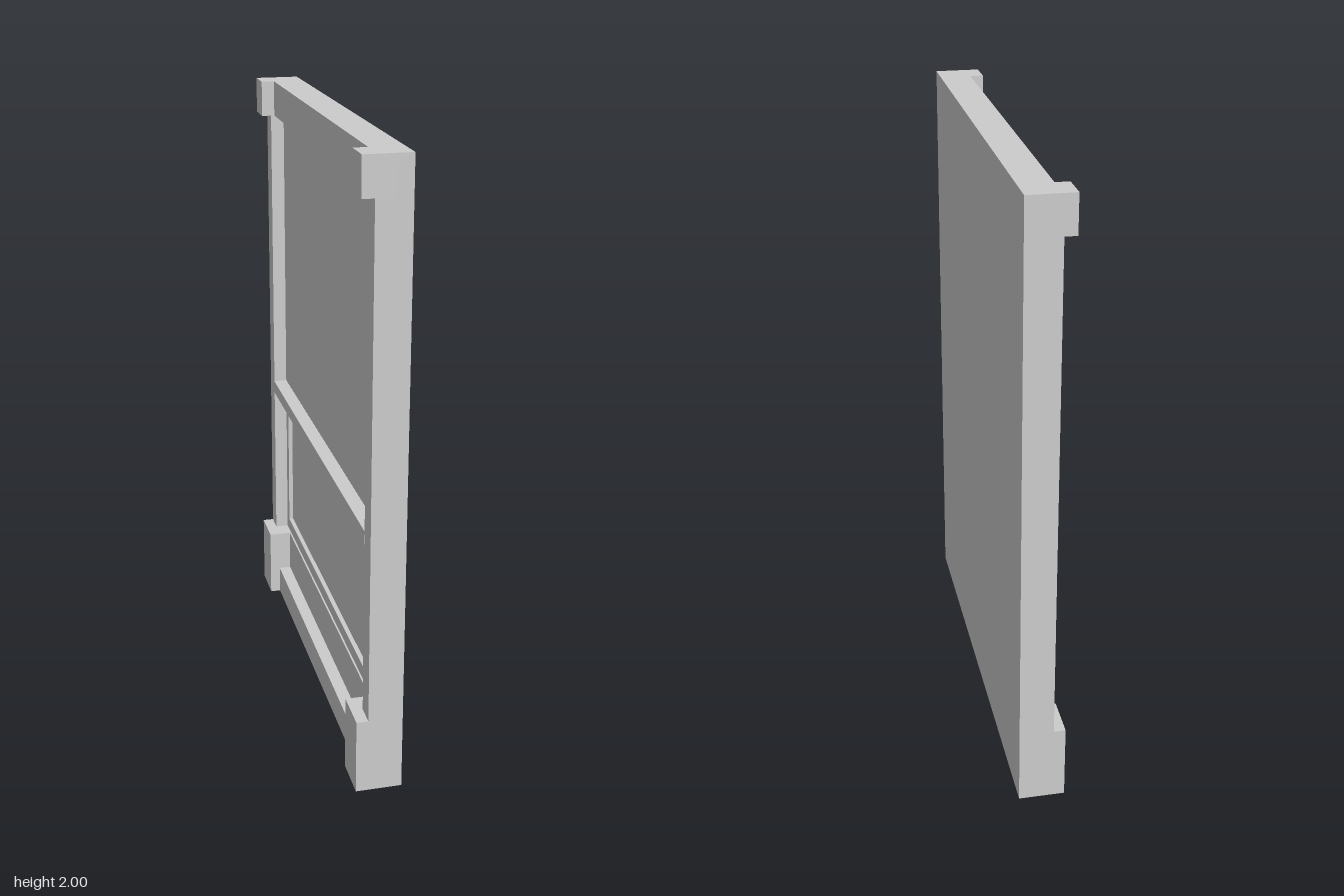
import * as THREE from 'three';

const OUTER = 0.074; // flat face, at +x

export function createModel() {
  const group = new THREE.Group();
  const material = new THREE.MeshStandardMaterial({ color: 0xcccccc });

  const add = (name, geometry) => {
    const mesh = new THREE.Mesh(geometry, material);
    mesh.name = name;
    group.add(mesh);
    return mesh;
  };

  // Box running from the flat face back to x = inner, over given y and z ranges
  const slab = (name, inner, y0, y1, z0, z1) => {
    const geometry = new THREE.BoxGeometry(OUTER - inner, y1 - y0, z1 - z0);
    geometry.translate((OUTER + inner) / 2, (y0 + y1) / 2, (z0 + z1) / 2);
    return add(name, geometry);
  };

  // Flat facing board
  slab('facingBoard', 0.025, 0, 2, -0.75, 0.75);

  // Inner sheet with a shallow rectangular inset in its lower half
  const sheet = new THREE.Shape([
    new THREE.Vector2(-0.7, 0.05), new THREE.Vector2(0.7, 0.05),
    new THREE.Vector2(0.7, 1.95), new THREE.Vector2(-0.7, 1.95),
  ]);
  sheet.holes.push(new THREE.Path([
    new THREE.Vector2(-0.645, 0.295), new THREE.Vector2(-0.645, 0.775),
    new THREE.Vector2(0.645, 0.775), new THREE.Vector2(0.645, 0.295),
  ]));
  const sheetGeometry = new THREE.ExtrudeGeometry(sheet, { depth: 0.017, bevelEnabled: false });
  sheetGeometry.rotateY(-Math.PI / 2);
  sheetGeometry.translate(0.027, 0, 0);
  add('innerSheet', sheetGeometry);

  // Horizontal rails
  slab('topRail', -0.03, 1.88, 2, -0.75, 0.75);
  slab('middleRail', -0.037, 0.82, 0.865, -0.68, 0.68);
  slab('baseBoard', 0.004, 0.02, 0.25, -0.68, 0.68);
  slab('bottomRail', -0.038, 0, 0.1, -0.68, 0.68);

  // Upright stiles and thick corner blocks, mirrored front to back
  for (const side of [1, -1]) {
    const mirrored = (name, inner, y0, y1, za, zb) =>
      slab(name, inner, y0, y1, Math.min(side * za, side * zb), Math.max(side * za, side * zb));
    mirrored('stile', -0.036, 0, 2 - 0.12, 0.68, 0.75);
    mirrored('topCornerBlock', -0.074, 1.88, 2, 0.65, 0.75);
    mirrored('bottomCornerBlock', -0.074, 0, 0.25, 0.61, 0.75);
  }

  return group;
}
